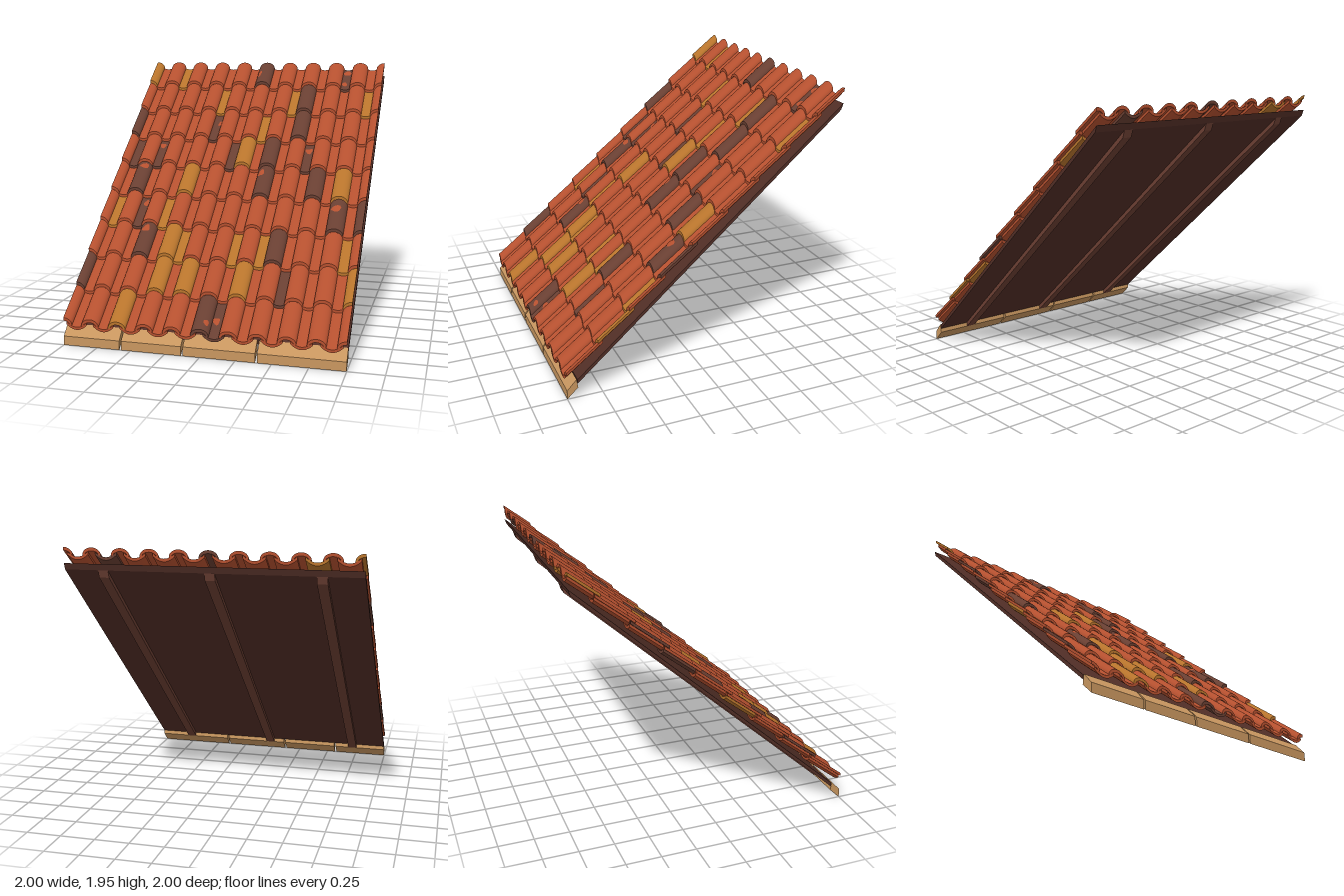
import * as THREE from 'three';
import { toCreasedNormals } from 'three/addons/utils/BufferGeometryUtils.js';

const material = (name, color) => {
  const m = new THREE.MeshStandardMaterial({ color });
  m.name = name;
  return m;
};

// Roof layout: each row steps back and up, tiles lie a little flatter than the roof
const ROWS = 9, STEP_Z = 0.225, STEP_Y = 0.199, TILE_SLOPE = 0.77, ROOF_SLOPE = 0.885;
const THICK = 0.022, COVER_W = 0.065, COVER_H = 0.05, PAN_W = 0.075, PAN_RISE = 0.035;
const rowFront = (row) => 1 - STEP_Z * row;
const crestY = (row, z) => 0.2 + STEP_Y * row + TILE_SLOPE * (rowFront(row) - z);
const coverX = (i) => -1 + 0.2 * i;
const panX = (i) => -0.9 + 0.2 * i;
const panY = (dx) => -0.062 + PAN_RISE * (dx / PAN_W) ** 2;
const coverY = (dx) => -COVER_H * (1 - Math.sqrt(Math.max(0, 1 - (dx / COVER_W) ** 2)));

// Tile colours per row from the eave up: t terracotta, o ochre, d dark
const COVERS = [
  'ttottdttttt', 'dttootottto', 'ttdotttdttt'.replace(' ', 't').slice(0, 11),
  'tttttttttdd', 'tdtottdtdot', 'tttttodtttt', 'dttttttdttt', 'tttttttdttt', 'ottttdttttt',
];
COVERS[2] = 'ttdotttdttt';
const PANS = [
  'tttttdtttt', 'tttttttdtt', 'tttotootto', 'odottttttt', 'tttttttttt',
  'ddttdttdtt', 'tttdtotttt', 'tttottotto', 'tottttttdt'.replace(' ', 't'),
];

// Worn spots: row, tile kind, index, x, z, radius across, radius along
const SPOTS = [
  [0, 'pan', 5, 0.09, 0.89, 0.025, 0.022], [0, 'cover', 5, 0.035, 0.95, 0.018, 0.018],
  [2, 'cover', 2, -0.61, 0.37, 0.03, 0.025], [3, 'pan', 1, -0.69, 0.14, 0.02, 0.025],
  [3, 'cover', 9, 0.79, 0.17, 0.036, 0.025], [4, 'cover', 1, -0.79, -0.09, 0.036, 0.02],
  [4, 'cover', 6, 0.17, -0.07, 0.025, 0.025], [5, 'pan', 1, -0.71, -0.31, 0.025, 0.02],
  [5, 'pan', 7, 0.5, -0.3, 0.028, 0.022], [6, 'pan', 3, -0.28, -0.5, 0.014, 0.02],
  [8, 'cover', 5, -0.04, -0.89, 0.015, 0.03], [8, 'pan', 8, 0.7, -0.96, 0.03, 0.022],
  [8, 'pan', 8, 0.69, -0.85, 0.02, 0.02],
];

// Sweep a tile cross-section up the slope
function tileGeometry(outer, inner, x, row) {
  const shape = new THREE.Shape([...outer, ...inner.reverse()]);
  const length = row === ROWS - 1 ? 0.2 : 0.26;
  const geo = new THREE.ExtrudeGeometry(shape, { depth: length, bevelEnabled: false });
  geo.translate(x, 0, rowFront(row) - length);
  const p = geo.attributes.position;
  for (let i = 0; i < p.count; i++) p.setY(i, p.getY(i) + crestY(row, p.getZ(i)));
  return toCreasedNormals(geo, 0.7);
}

function coverTile(i, row) {
  // The verge tiles at both sides are cut in half
  const a0 = i === 0 ? 0 : -Math.PI / 2, a1 = i === 10 ? 0 : Math.PI / 2, n = 12;
  const outer = [], inner = [];
  for (let k = 0; k <= n; k++) {
    const a = a0 + (a1 - a0) * k / n, s = Math.sin(a), c = Math.cos(a);
    outer.push(new THREE.Vector2(COVER_W * s, COVER_H * (c - 1)));
    inner.push(new THREE.Vector2((COVER_W - 0.016) * s, (COVER_H - THICK) * c - COVER_H));
  }
  return tileGeometry(outer, inner, coverX(i), row);
}

function panTile(i, row) {
  const outer = [], inner = [], n = 10;
  for (let k = 0; k <= n; k++) {
    const x = PAN_W * (2 * k / n - 1);
    outer.push(new THREE.Vector2(x, panY(x)));
    inner.push(new THREE.Vector2(x, panY(x) - 0.02));
  }
  return tileGeometry(outer, inner, panX(i), row);
}

// Thin irregular patch draped over a tile
function spotGeometry([row, kind, i, x, z, rx, rz]) {
  const geo = new THREE.RingGeometry(0.001, 1, 14, 3);
  const p = geo.attributes.position;
  for (let k = 0; k < p.count; k++) {
    const a = Math.atan2(p.getY(k), p.getX(k)), wobble = 1 + 0.15 * Math.sin(3 * a + row + i);
    const px = x + p.getX(k) * rx * wobble, pz = z - p.getY(k) * rz * wobble;
    const lift = kind === 'pan' ? panY(px - panX(i)) : coverY(px - coverX(i));
    p.setXYZ(k, px, crestY(row, pz) + lift + 0.004, pz);
  }
  geo.computeVertexNormals();
  return geo;
}

// Solid with a (z, y) outline running from x0 to x1
function prism(points, x0, x1) {
  const shape = new THREE.Shape(points.map(([z, y]) => new THREE.Vector2(z, y)));
  const geo = new THREE.ExtrudeGeometry(shape, { depth: x1 - x0, bevelEnabled: false });
  return geo.rotateY(-Math.PI / 2).translate(x1, 0, 0);
}

export function createModel() {
  const model = new THREE.Group();
  model.name = 'tiledRoof';
  const terracotta = material('terracotta', 0xb5502f);
  const ochre = material('ochre', 0xb8742c);
  const dark = material('darkClay', 0x693f32);
  const tan = material('tanTimber', 0xc8965f);
  const deckMat = material('darkTimber', 0x512e26);
  const rafterMat = material('brownTimber', 0x6c3f33);
  const clay = { t: terracotta, o: ochre, d: dark };
  const add = (parent, name, geo, mat) => {
    const mesh = new THREE.Mesh(geo, mat);
    mesh.name = name;
    parent.add(mesh);
  };

  // Tile rows
  for (let row = 0; row < ROWS; row++) {
    const group = new THREE.Group();
    group.name = `tileRow${row + 1}`;
    for (let i = 0; i < 10; i++) add(group, 'panTile', panTile(i, row), clay[PANS[row][i]]);
    for (let i = 0; i < 11; i++) add(group, 'coverTile', coverTile(i, row), clay[COVERS[row][i]]);
    model.add(group);
  }
  for (const spot of SPOTS) add(model, 'wornSpot', spotGeometry(spot), terracotta);

  // Deck under the tiles
  const roofY = (z, drop) => 0.135 + ROOF_SLOPE * (0.925 - z) - drop;
  add(model, 'deck', prism([
    [0.925, roofY(0.925, 0)], [-1, roofY(-1, 0)], [-0.985, roofY(-0.985, 0.03)], [0.925, roofY(0.925, 0.03)],
  ], -1, 1), deckMat);

  // Rafters
  for (const x of [-0.73, 0, 0.73]) {
    add(model, 'rafter', prism([
      [0.92, roofY(0.92, 0.028)], [-0.985, roofY(-0.985, 0.028)],
      [-0.968, roofY(-0.968, 0.065)], [0.92, roofY(0.92, 0.065)],
    ], x - 0.035, x + 0.035), rafterMat);
  }

  // Eave boards with narrow joints
  const joints = [-1, -0.575, -0.125, 0.395, 1];
  for (let i = 0; i < 4; i++) {
    const x0 = joints[i] + (i > 0 ? 0.007 : 0), x1 = joints[i + 1] - (i < 3 ? 0.007 : 0);
    add(model, 'eaveBoard', prism([[1, 0], [1, 0.065], [0.932, 0.138], [0.922, 0.075]], x0, x1), tan);
  }
  return model;
}
